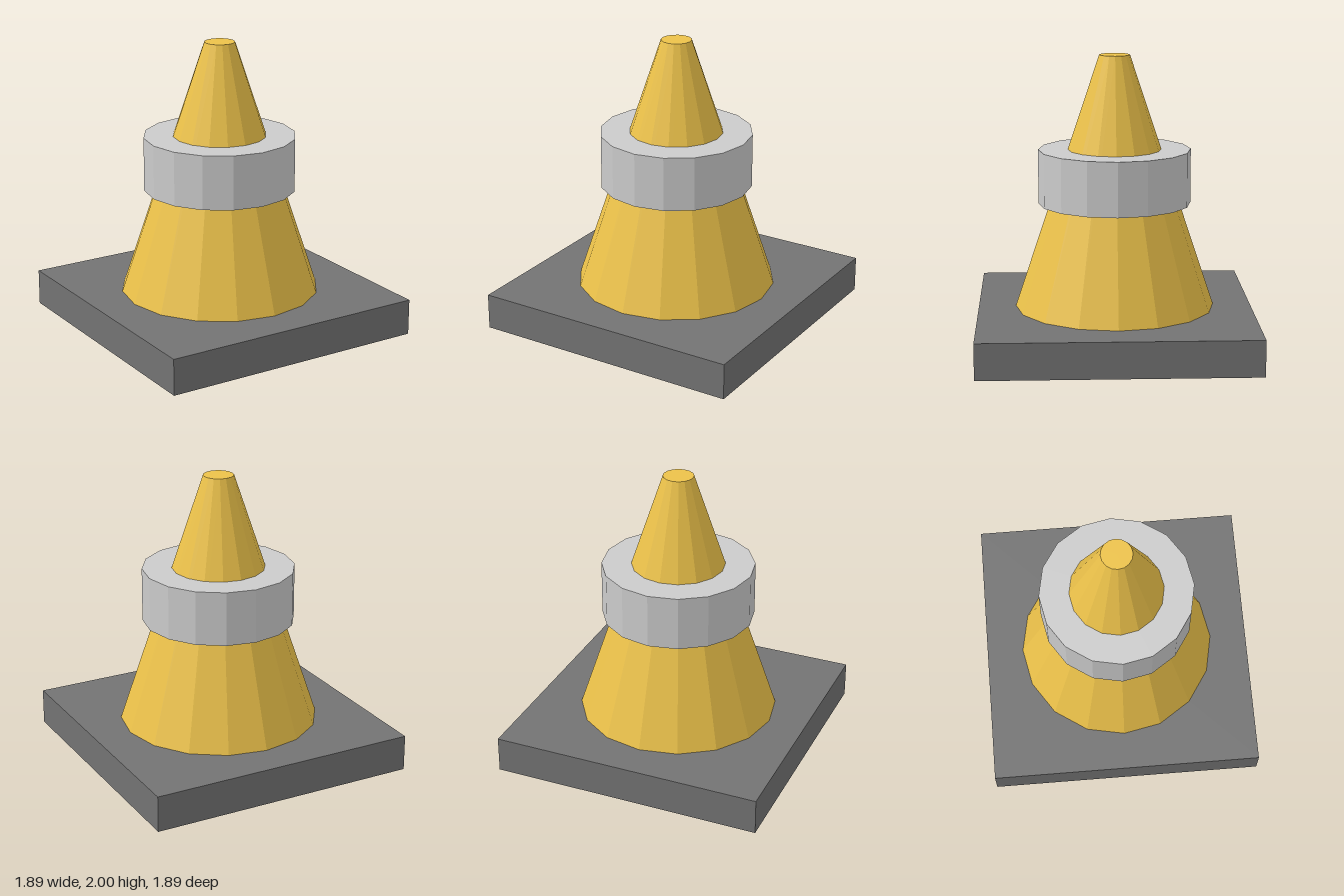
import * as THREE from 'three';

const SIDES = 16;

function addPart(group, name, geometry, color, y) {
  const material = new THREE.MeshStandardMaterial({ color, flatShading: true });
  const mesh = new THREE.Mesh(geometry, material);
  mesh.name = name;
  mesh.position.y = y;
  group.add(mesh);
}

export function createModel() {
  const group = new THREE.Group();
  group.name = 'trafficCone';

  // Square foot plate
  addPart(group, 'base', new THREE.BoxGeometry(1.89, 0.25, 1.89), 0x737373, 0.125);

  // Tapered body with a flat tip
  addPart(group, 'cone', new THREE.CylinderGeometry(0.105, 0.688, 1.75, SIDES), 0xecc24a, 1.125);

  // Straight-sided collar around the body
  addPart(group, 'collar', new THREE.CylinderGeometry(0.525, 0.525, 0.375, SIDES), 0xcccccc, 1.163);

  return group;
}
